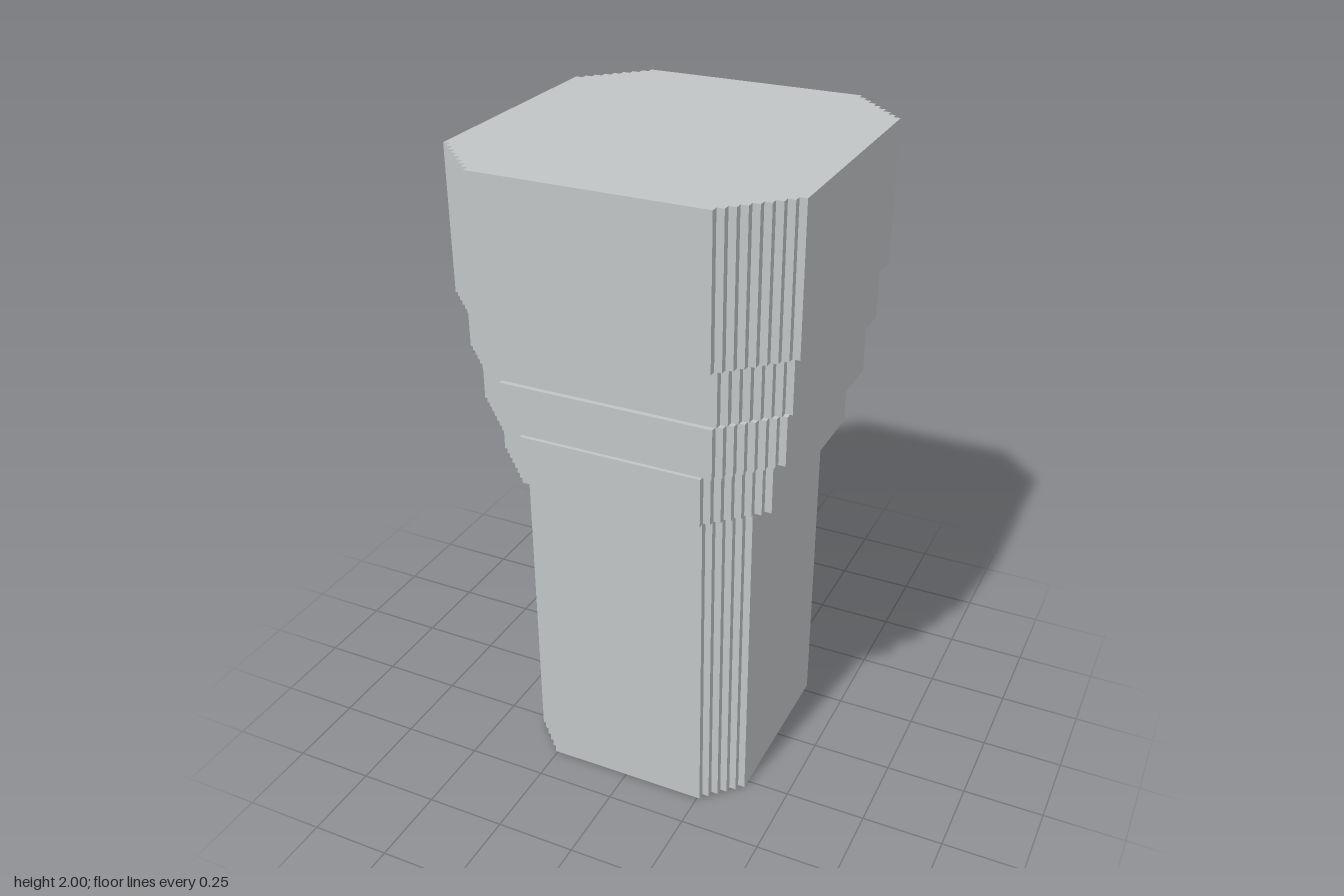
import * as THREE from 'three';

const U = 2 / 93; // one grid unit

// Prism with staircase-cut corners. hx: half width, front/back: z extents,
// cut: steps per corner along x, fz/bz: flat side reach towards front and back.
function steppedPrism(name, material, { hx, front, back, cut, fz, bz, y0, y1 }) {
  const quarter = (end, flat) => {
    const pts = [];
    const rise = (end - flat) / cut;
    for (let i = 0; i < cut; i++) {
      pts.push([hx - i, flat + i * rise], [hx - i - 1, flat + i * rise]);
    }
    pts.push([hx - cut, end]);
    return pts;
  };
  const rear = quarter(back, bz);
  const fore = quarter(front, fz);
  const outline = [
    ...rear,
    ...rear.map(([x, z]) => [-x, z]).reverse(),
    ...fore.map(([x, z]) => [-x, -z]),
    ...fore.map(([x, z]) => [x, -z]).reverse(),
  ].map(([x, y]) => new THREE.Vector2(x * U, y * U));
  const geometry = new THREE.ExtrudeGeometry(new THREE.Shape(outline), {
    depth: (y1 - y0) * U,
    bevelEnabled: false,
  });
  geometry.rotateX(-Math.PI / 2).translate(0, y0 * U, 0);
  const mesh = new THREE.Mesh(geometry, material);
  mesh.name = name;
  return mesh;
}

export function createModel() {
  const group = new THREE.Group();
  group.name = 'steppedPost';
  const steel = new THREE.MeshStandardMaterial({ color: 0xc2c5c6 });
  steel.name = 'light steel grey';

  // Shaft, three widening collars and the head
  const parts = {
    shaft: { hx: 17, front: 18, back: 18, cut: 5, fz: 13, bz: 13, y0: 0, y1: 49 },
    lowerCollar: { hx: 20, front: 21, back: 21, cut: 7, fz: 14, bz: 14, y0: 49, y1: 56 },
    middleCollar: { hx: 22, front: 22, back: 22, cut: 7, fz: 15, bz: 15, y0: 57, y1: 64 },
    upperCollar: { hx: 23, front: 23, back: 24, cut: 7, fz: 16, bz: 16, y0: 65, y1: 73 },
    head: { hx: 24, front: 25, back: 25, cut: 8, fz: 17, bz: 17, y0: 73, y1: 93 },
  };
  for (const [name, spec] of Object.entries(parts)) group.add(steppedPrism(name, steel, spec));

  // Tiny pegs bridging the gaps between the collars
  for (const [name, x, y, z] of [
    ['lowerPeg', 19.5, 56.5, -13.5],
    ['upperPeg', 20.5, 64.5, -15.5],
  ]) {
    const peg = new THREE.Mesh(new THREE.BoxGeometry(U, U, U), steel);
    peg.name = name;
    peg.position.set(x * U, y * U, z * U);
    group.add(peg);
  }
  return group;
}
